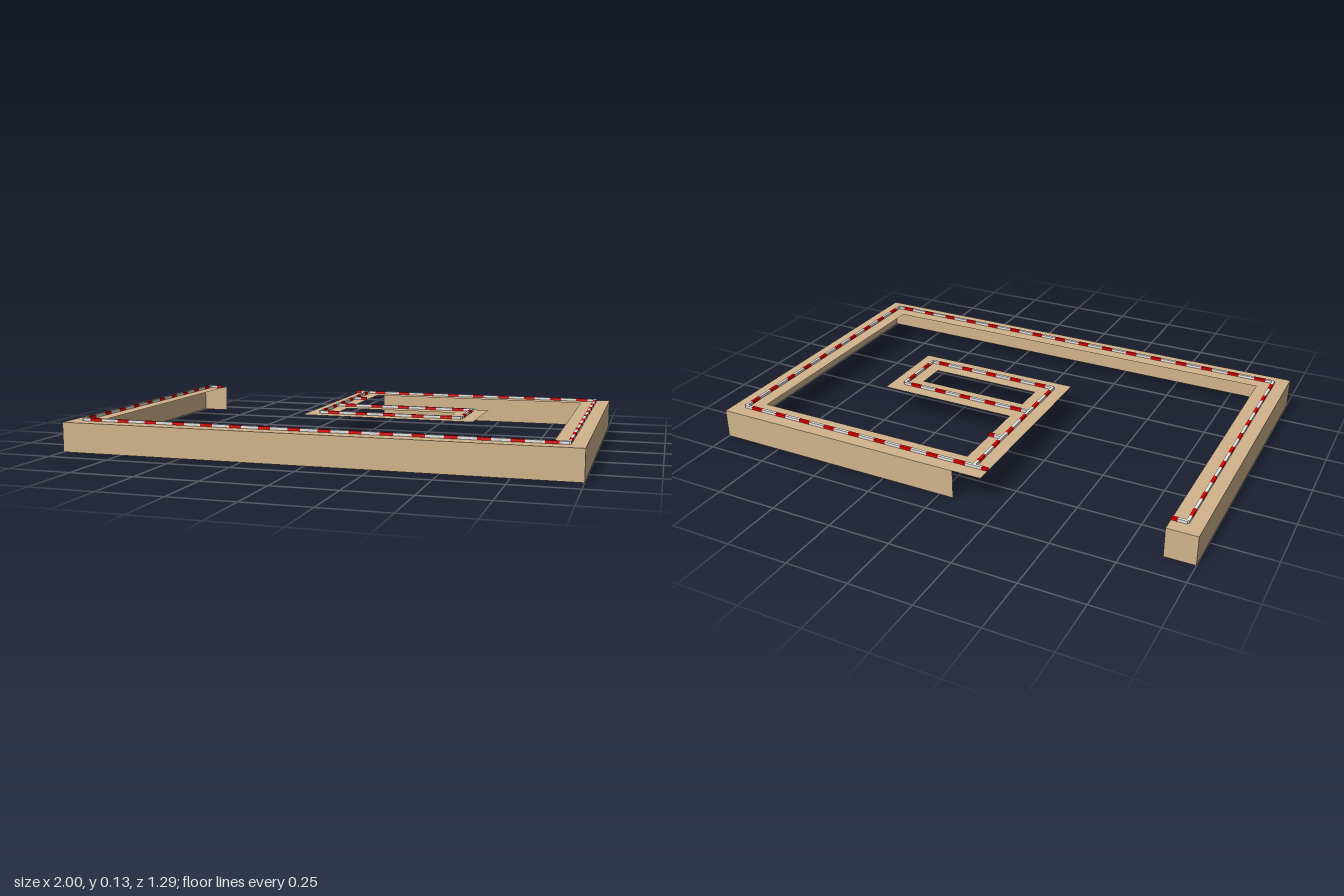
import * as THREE from 'three';

export function createModel() {
  const S = 2 / 17, H = S, RAIL_H = 0.011, RAIL_W = 0.0118, GAP = 0.001;
  const X = c => c * S - 1;          // grid column to x
  const Z = r => (r - 5.5) * S;      // grid row to z

  const tan = new THREE.MeshStandardMaterial({ color: 0xd2b48c, side: THREE.DoubleSide });
  tan.name = 'tan';
  const white = new THREE.MeshStandardMaterial({ color: 0xffffff });
  white.name = 'kerb white';
  const red = new THREE.MeshStandardMaterial({ color: 0xff0000 });
  red.name = 'kerb red';

  const model = new THREE.Group();
  model.name = 'spiralTrack';
  const group = name => {
    const g = new THREE.Group();
    g.name = name;
    model.add(g);
    return g;
  };
  const add = (parent, name, geo, mat, x, y, z) => {
    const m = new THREE.Mesh(geo, mat);
    m.name = name;
    m.position.set(x, y, z);
    parent.add(m);
    return m;
  };

  // Deck: one flat spiral sheet with a slot in its inner loop
  const points = list => list.map(([c, r]) => new THREE.Vector2(X(c), -Z(r)));
  const outline = new THREE.Shape(points([
    [0, 0], [1, 0], [1, 10], [16, 10], [16, 1], [8, 1], [8, 4],
    [13, 4], [13, 7], [7, 7], [7, 0], [17, 0], [17, 11], [0, 11],
  ]));
  outline.holes.push(new THREE.Path(points([[8, 5], [12, 5], [12, 6], [8, 6]])));
  add(model, 'deck', new THREE.ShapeGeometry(outline).rotateX(-Math.PI / 2), tan, 0, H, 0);

  // Skirt walls: thin sheets along the outer edge only
  const skirt = group('skirt');
  const edge = [[1, 0], [0, 0], [0, 11], [17, 11], [17, 0], [8, 0]];
  for (let i = 1; i < edge.length; i++) {
    const [c0, r0] = edge[i - 1], [c1, r1] = edge[i];
    const wall = add(skirt, 'skirtWall',
      new THREE.PlaneGeometry(Math.hypot(c1 - c0, r1 - r0) * S, H), tan,
      X((c0 + c1) / 2), H / 2, Z((r0 + r1) / 2));
    wall.rotation.y = Math.atan2(r0 - r1, c1 - c0);
  }

  // Kerb: low rail along cell centres, red across each cell border
  const kerb = group('kerb');
  const piece = (c0, r0, c1, r1, name, mat) => {
    add(kerb, name, new THREE.BoxGeometry(
      Math.max(Math.abs(c1 - c0) * S, RAIL_W), RAIL_H,
      Math.max(Math.abs(r1 - r0) * S, RAIL_W)), mat,
    X((c0 + c1) / 2), H + GAP + RAIL_H / 2, Z((r0 + r1) / 2));
  };
  const RED_HALF = 0.21;
  const run = (c0, r0, c1, r1) => {
    const n = Math.hypot(c1 - c0, r1 - r0);
    const dc = (c1 - c0) / n, dr = (r1 - r0) / n;
    const part = (a, b, name, mat) =>
      piece(c0 + dc * a, r0 + dr * a, c0 + dc * b, r0 + dr * b, name, mat);
    for (let t = 0; t < n; t++) {
      const lo = t + 0.5 - RED_HALF, hi = t + 0.5 + RED_HALF;
      part(t, lo, 'whiteKerb', white);
      part(lo, Math.min(hi, n), 'redKerb', red);
      if (hi < n) part(hi, t + 1, 'whiteKerb', white);
    }
  };
  [
    [0.5, 0.5, 0.5, 10.5], [0.5, 10.5, 16.5, 10.5], [16.5, 10.5, 16.5, 0.5],
    [16.5, 0.5, 7.5, 0.5], [7.5, 0.5, 7.5, 6.5], [7.5, 4.5, 12.5, 4.5],
    [12.5, 4.5, 12.5, 6.5], [12.5, 6.5, 7.5, 6.5],
    // half-cell stubs
    [0.5, 0.5, 1, 0.5], [7.5, 0.5, 7, 0.5], [7.5, 2.5, 8, 2.5],
  ].forEach(r => run(...r));

  return model;
}
